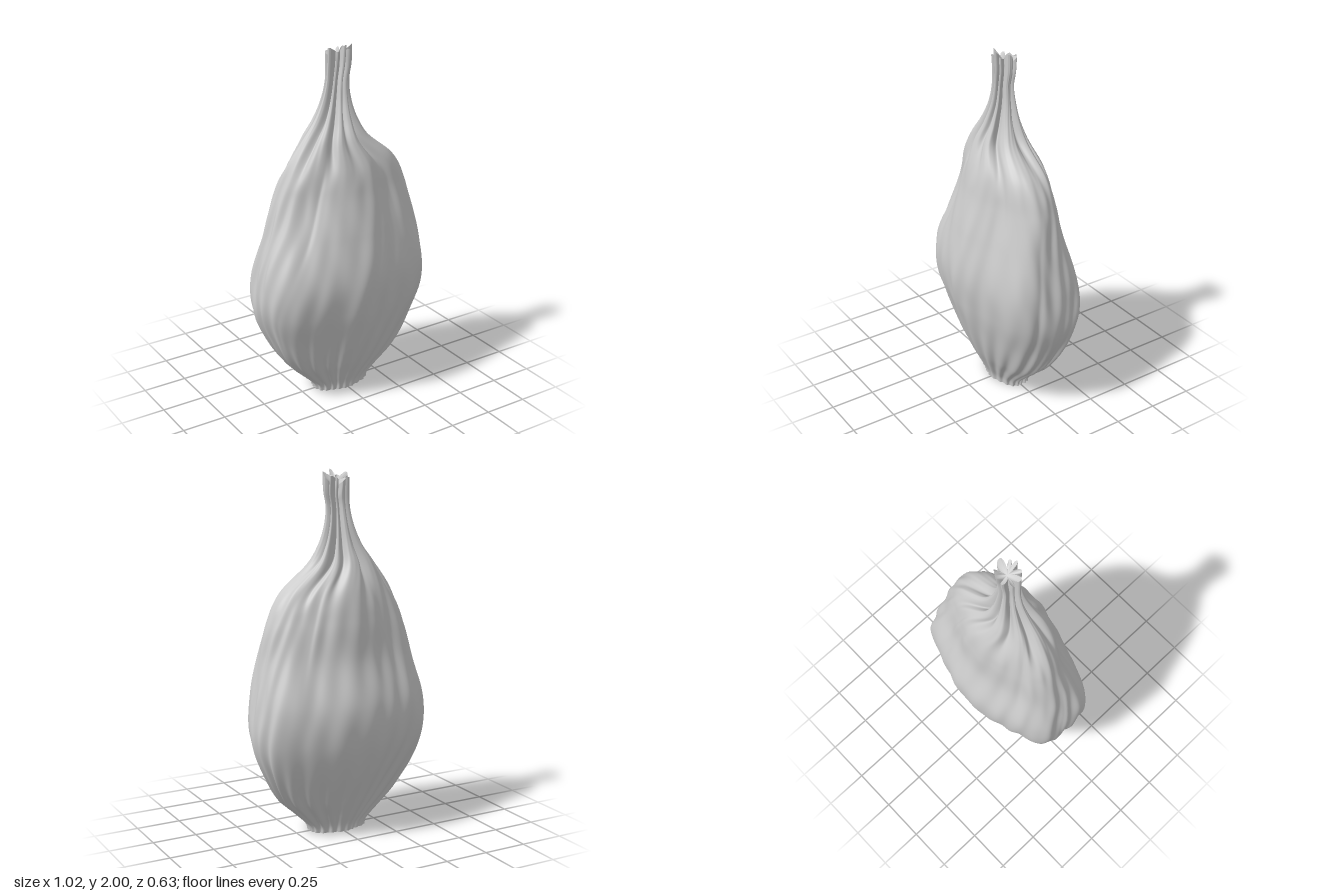
import * as THREE from 'three';

// Height, then left / right / back / front extents of the bulb
const PROFILE = [
  [0.00, -0.165, 0.165, -0.105, 0.10],
  [0.03, -0.17, 0.17, -0.11, 0.105],
  [0.10, -0.235, 0.235, -0.14, 0.135],
  [0.20, -0.335, 0.34, -0.185, 0.18],
  [0.40, -0.455, 0.455, -0.265, 0.25],
  [0.56, -0.51, 0.505, -0.305, 0.295],
  [0.74, -0.505, 0.50, -0.312, 0.315],
  [1.00, -0.45, 0.45, -0.245, 0.27],
  [1.20, -0.40, 0.405, -0.22, 0.225],
  [1.36, -0.33, 0.32, -0.185, 0.195],
  [1.50, -0.235, 0.155, -0.13, 0.145],
  [1.60, -0.16, 0.095, -0.09, 0.10],
  [1.70, -0.11, 0.065, -0.065, 0.068],
  [1.80, -0.085, 0.055, -0.05, 0.055],
  [1.90, -0.08, 0.07, -0.053, 0.058],
  [2.00, -0.08, 0.072, -0.06, 0.065],
];
// Long creases: angle, mid height, lean, half length, depth
const CREASES = [
  [2.35, 1.15, -0.5, 0.30, 0.06],
  [0.90, 1.25, -0.1, 0.22, 0.07],
  [3.95, 1.15, -0.4, 0.28, 0.06],
  [5.35, 1.20, -0.3, 0.30, 0.05],
  [0.35, 0.65, -0.3, 0.35, 0.04],
  [3.30, 0.75, -0.4, 0.35, 0.04],
  [2.75, 0.45, -0.5, 0.30, 0.03],
  [5.90, 0.60, -0.3, 0.35, 0.025],
];
// Broad hollows (swellings where negative): angle, mid height, depth
const HOLLOWS = [
  [2.60, 1.20, 0.19],
  [5.75, 1.22, 0.10],
  [3.70, 1.28, 0.06],
  [0.52, 1.28, 0.06],
  [5.40, 0.62, -0.04],
  [3.84, 0.65, -0.04],
  [2.70, 0.76, -0.03],
];
const ROWS = 130, COLS = 240;
const smooth = THREE.MathUtils.smoothstep;

const extents = new THREE.CubicInterpolant(
  PROFILE.map((p) => p[0]), PROFILE.flatMap((p) => p.slice(1)), 4, new Float32Array(4));

const wrap = (a) => Math.atan2(Math.sin(a), Math.cos(a));

// Creases are steep on one side and soft on the other, hollows are round
function dentDepth(t, y) {
  let sum = 0;
  for (const [angle, mid, lean, half, depth] of CREASES) {
    const d = wrap(t - angle - lean * (y - mid));
    sum += depth * Math.exp(-((d / (d < 0 ? 0.07 : 0.24)) ** 2) - ((y - mid) / half) ** 2);
  }
  for (const [angle, mid, depth] of HOLLOWS) {
    sum += depth * Math.exp(-((wrap(t - angle) / 0.38) ** 2) - ((y - mid) / 0.25) ** 2);
  }
  return sum;
}

// Point on the skin: oval section with blunt ends and twisted pleats
function skinPoint(t, y) {
  const [left, right, back, front] = extents.evaluate(y);
  const neck = smooth(y, 1.25, 1.8), body = 1 - neck;
  const base = 1 - smooth(y, 0, 0.55);
  const belly = body * (1 - base);

  // Pleats drift sideways as they climb
  const phi = t + 0.45 * y;
  const p = 9 * phi + 1.1 * Math.sin(2 * phi + 1) + 0.7 * Math.sin(3 * phi);
  const pleat = 0.5 + 0.5 * Math.cos(p + 0.5 * Math.sin(p));
  const uneven = 0.8 + 0.2 * Math.sin(4 * phi + 2);
  const q = 23 * phi + 1.2 * Math.sin(3 * phi);

  let k = 1 + 0.033 * body * (Math.cos(2 * t) - Math.cos(6 * t));
  k -= pleat * (0.02 + 0.68 * neck * uneven);
  k -= dentDepth(t, y);
  k += (0.006 * body + 0.03 * base) * Math.cos(q);
  k += 0.009 * neck * Math.cos(q * 2);

  // Broad dents and a fine lattice of ripples
  k += 0.010 * belly * Math.sin(5 * t + 6 * y + Math.sin(2 * t));
  k += 0.007 * belly * Math.sin(3 * t - 9 * y);
  k += 0.006 * belly * (Math.sin(19 * t + 11 * y) + Math.sin(17 * t - 12 * y));

  // Ragged rim
  const drop = 0.03 * (1 + Math.sin(3 * phi + 0.6) * Math.cos(2 * t)) + 0.02 * pleat;
  return new THREE.Vector3(
    (right + left) / 2 + Math.cos(t) * k * (right - left) / 2,
    y - drop * smooth(y, 1.8, 2),
    (front + back) / 2 + Math.sin(t) * k * (front - back) / 2);
}

function ring(y) {
  return Array.from({ length: COLS }, (_, j) => skinPoint(j / COLS * Math.PI * 2, y));
}

function makeMesh(name, points, index) {
  const g = new THREE.BufferGeometry().setFromPoints(points);
  g.setIndex(index);
  g.computeVertexNormals();
  const mesh = new THREE.Mesh(g, new THREE.MeshStandardMaterial({
    color: 0xcccccc, roughness: 0.8, side: THREE.DoubleSide }));
  mesh.name = name;
  return mesh;
}

// Fan closing a ring around a centre point
function makeCap(name, y, centreY, up) {
  const points = [...ring(y), new THREE.Vector3(0, centreY, 0)];
  const index = [];
  for (let j = 0; j < COLS; j++) {
    const n = (j + 1) % COLS;
    index.push(COLS, ...(up ? [n, j] : [j, n]));
  }
  return makeMesh(name, points, index);
}

export function createModel() {
  const group = new THREE.Group();
  group.name = 'bulb';

  // Skin lofted from base to rim
  const points = [], index = [];
  for (let i = 0; i <= ROWS; i++) points.push(...ring(2 * i / ROWS));
  for (let i = 0; i < ROWS; i++) {
    for (let j = 0; j < COLS; j++) {
      const a = i * COLS + j, b = i * COLS + (j + 1) % COLS;
      index.push(a, a + COLS, b, b, a + COLS, b + COLS);
    }
  }
  group.add(makeMesh('skin', points, index));

  // Cut root end and dried stem tip
  group.add(makeCap('rootEnd', 0, 0, false));
  group.add(makeCap('stemTip', 2, 1.93, true));
  return group;
}
